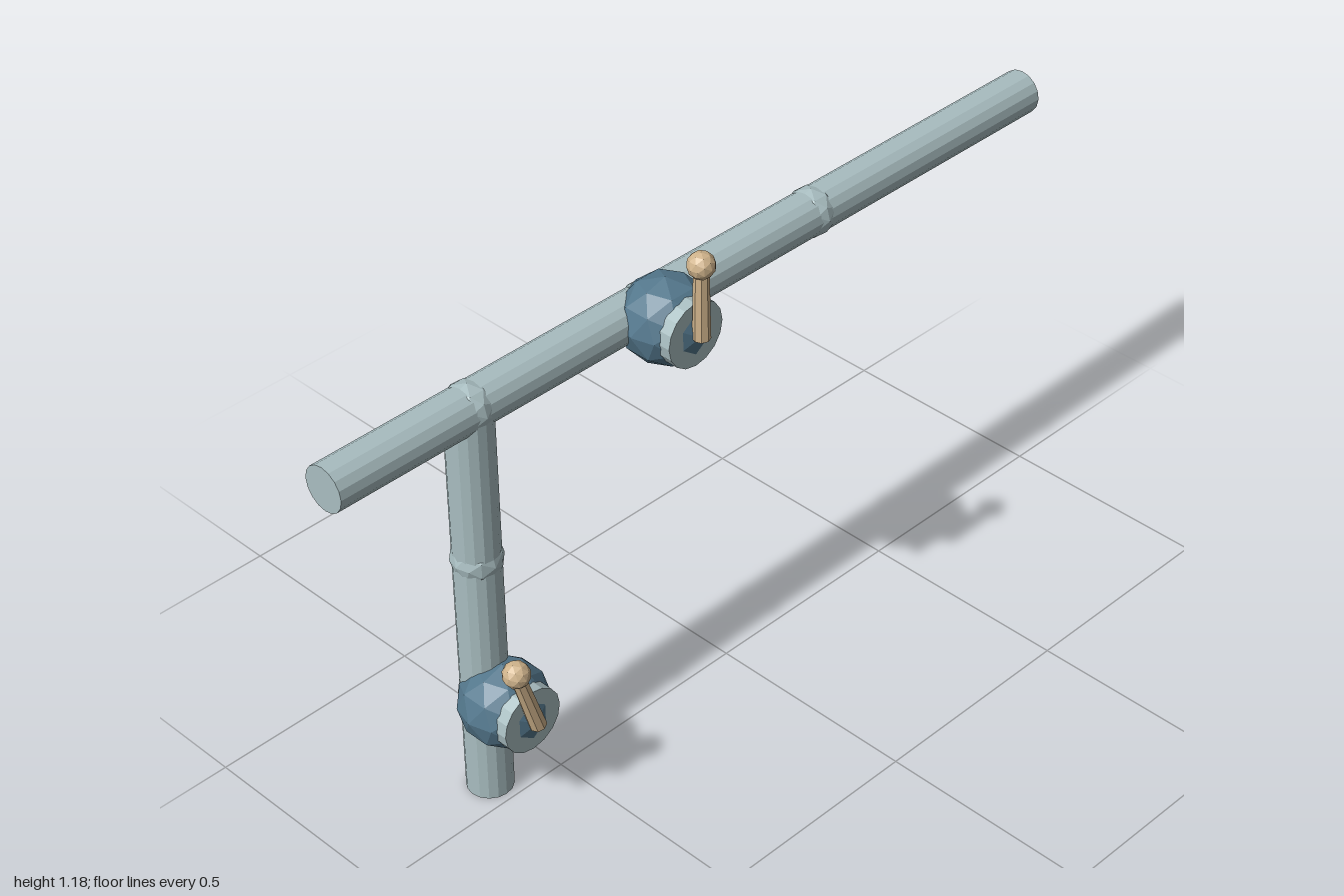
import * as THREE from 'three';

export function createModel() {
  const model = new THREE.Group();
  model.name = 'pipeWithValves';

  const mat = (name, color) => {
    const m = new THREE.MeshStandardMaterial({ color, flatShading: true });
    m.name = name;
    return m;
  };
  const steel = mat('paleSteel', 0xa9bec1);
  const blue = mat('valveBlue', 0x54788d);
  const tan = mat('handleTan', 0xd0b48c);

  const add = (parent, name, geometry, material, x, y, z) => {
    const mesh = new THREE.Mesh(geometry, material);
    mesh.name = name;
    mesh.position.set(x, y, z);
    parent.add(mesh);
    return mesh;
  };

  const R = 0.051, PIPE_Z = -0.067, TOP = 0.977, POST_X = -0.64;

  // Pipes
  add(model, 'crossPipe', new THREE.CylinderGeometry(R, R, 2, 16), steel, 0, TOP, PIPE_Z)
    .rotation.z = Math.PI / 2;
  add(model, 'uprightPipe', new THREE.CylinderGeometry(R, R, TOP, 16), steel, POST_X, TOP / 2, PIPE_Z);

  // Faceted joints that just break through the pipe walls
  const joint = new THREE.IcosahedronGeometry(0.056, 1);
  const joints = [[0.32, TOP], [-0.165, TOP], [POST_X, TOP], [POST_X, 0.61], [POST_X, 0.262]];
  for (const [x, y] of joints) add(model, 'pipeJoint', joint, steel, x, y, PIPE_Z);

  // Valves: body, front collar and a lever with a knob
  const addValve = (name, x, y, tilt) => {
    const valve = new THREE.Group();
    valve.name = name;
    valve.position.set(x, y, 0);
    model.add(valve);

    add(valve, 'valveBody', new THREE.IcosahedronGeometry(0.0985, 1), blue, 0, 0, -0.008);
    add(valve, 'valveCollar', new THREE.CylinderGeometry(0.075, 0.075, 0.03, 16), steel, 0, 0, 0.062)
      .rotation.x = Math.PI / 2;

    const lever = new THREE.Group();
    lever.name = 'lever';
    lever.position.z = 0.093;
    lever.rotation.z = tilt;
    valve.add(lever);
    add(lever, 'leverRod', new THREE.CylinderGeometry(0.016, 0.019, 0.173, 8), tan, 0, 0.0865, 0);
    add(lever, 'leverKnob', new THREE.IcosahedronGeometry(0.03, 1), tan, 0, 0.173, 0);
  };
  addValve('upperValve', -0.165, TOP, 0);
  addValve('lowerValve', POST_X, 0.262, 0.3);

  return model;
}
